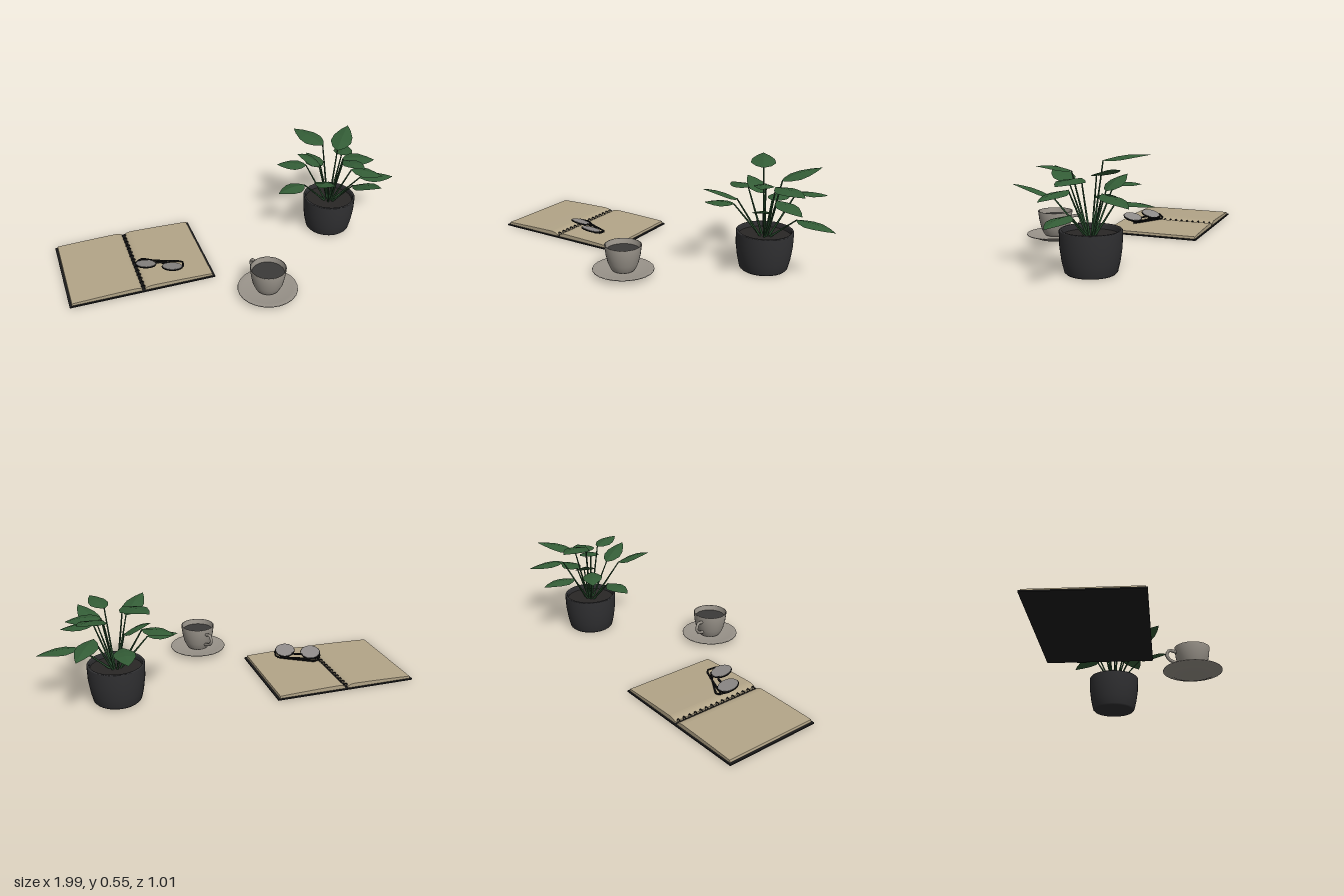
import * as THREE from 'three';

const mat = (name, color, side = THREE.FrontSide, flatShading = false) => {
  const m = new THREE.MeshStandardMaterial({ color, side, flatShading });
  m.name = name;
  return m;
};
const V = (x, y, z) => new THREE.Vector3(x, y, z);
const profile = (pts) => pts.map(([x, y]) => new THREE.Vector2(x, y));

export function createModel() {
  const D = THREE.DoubleSide;
  const cover = mat('coverBlack', 0x1c1c1c);
  const paper = mat('paper', 0xb3a588);
  const china = mat('stoneware', 0x99938a, D);
  const coffee = mat('coffee', 0x3b3a39);
  const potMat = mat('potCharcoal', 0x303032, D);
  const soilMat = mat('soil', 0x292726);
  const leafMat = mat('leafGreen', 0x335c36, D, true);
  const stemMat = mat('stemGreen', 0x26492b);
  const frameMat = mat('frameBlack', 0x0e0e0e);
  const lensMat = mat('lensGrey', 0x8e8a88);

  const root = new THREE.Group();
  const group = (name, x, z, ry = 0) => {
    const g = new THREE.Group();
    g.name = name;
    g.position.set(x, 0, z);
    g.rotation.y = ry;
    root.add(g);
    return g;
  };
  const add = (parent, name, geo, material, x = 0, y = 0, z = 0) => {
    const m = new THREE.Mesh(geo, material);
    m.name = name;
    m.position.set(x, y, z);
    parent.add(m);
    return m;
  };

  // Open notebook: thin cover, two page blocks dipping into the gutter
  const book = group('notebook', -0.572, -0.045, 0.139);
  add(book, 'cover', new THREE.BoxGeometry(0.788, 0.007, 0.54), cover, 0, 0.0035, 0);
  for (const s of [-1, 1]) {
    const page = new THREE.Shape();
    page.moveTo(s * 0.008, 0.007);
    page.lineTo(s * 0.382, 0.007);
    page.lineTo(s * 0.38, 0.02);
    page.quadraticCurveTo(s * 0.2, 0.027, s * 0.05, 0.029);
    page.quadraticCurveTo(s * 0.018, 0.028, s * 0.008, 0.016);
    const geo = new THREE.ExtrudeGeometry(page, { depth: 0.524, bevelEnabled: false, curveSegments: 6 });
    add(book, s < 0 ? 'rightPages' : 'leftPages', geo, paper, 0, 0, -0.262);
  }
  // Binding rings along the gutter
  const ringGeo = new THREE.TorusGeometry(0.011, 0.003, 5, 10);
  for (let i = 0; i < 15; i++) add(book, 'bindingRing', ringGeo, cover, 0, 0.016, -0.245 + i * 0.035);

  // Glasses lying on the page with folded temples
  const glasses = group('glasses', -0.44, 0.085, -0.35);
  const tube = (pts, r, n = 10) => new THREE.TubeGeometry(
    new THREE.CatmullRomCurve3(pts, false, 'catmullrom', 0.15), n, r, 6);
  const front = new THREE.Group();
  front.name = 'glassesFront';
  front.position.y = 0.06;
  front.rotation.x = -0.3;
  glasses.add(front);
  for (const s of [-1, 1]) {
    const rim = add(front, 'rim', new THREE.TorusGeometry(0.053, 0.004, 6, 20), frameMat, s * 0.073, 0, 0);
    rim.rotation.x = Math.PI / 2;
    add(front, 'lens', new THREE.CylinderGeometry(0.053, 0.053, 0.004, 20), lensMat, s * 0.073, 0.003, 0);
    const h = s < 0 ? 0.039 : 0.047;
    add(glasses, 'temple', tube([
      V(s * 0.124, 0.058, 0), V(s * 0.128, 0.055, -0.02), V(s * 0.118, h + 0.003, -0.062),
      V(s * 0.1, h, -0.07), V(-s * 0.05, h - 0.002, -0.056), V(-s * 0.11, h - 0.004, -0.045),
    ], 0.0055, 14), frameMat);
  }
  add(front, 'bridge', tube([V(-0.03, 0.002, -0.025), V(0, 0.007, -0.032), V(0.03, 0.002, -0.025)], 0.006, 6), frameMat);

  // Cup and saucer
  const cup = group('cupAndSaucer', 0.105, 0.343, 0.45);
  add(cup, 'saucer', new THREE.LatheGeometry(profile([
    [0, 0], [0.085, 0], [0.105, 0.006], [0.135, 0.02], [0.16, 0.026],
    [0.159, 0.03], [0.13, 0.027], [0.075, 0.018], [0, 0.018],
  ]), 24), china);
  add(cup, 'cupBody', new THREE.LatheGeometry(profile([
    [0, 0.022], [0.058, 0.022], [0.066, 0.033], [0.08, 0.065], [0.09, 0.11], [0.096, 0.158],
    [0.09, 0.158], [0.084, 0.11], [0.074, 0.068], [0.055, 0.04], [0, 0.036],
  ]), 28), china);
  add(cup, 'coffee', new THREE.CylinderGeometry(0.086, 0.084, 0.006, 28), coffee, 0, 0.127, 0);
  add(cup, 'handle', tube([
    V(0, 0.126, -0.088), V(0, 0.134, -0.125), V(0, 0.125, -0.138), V(0, 0.1, -0.145),
    V(0, 0.075, -0.125), V(0, 0.06, -0.08),
  ], 0.009, 10), china);

  // Plant pot
  const pot = group('plantPot', 0.6, -0.198);
  add(pot, 'potBody', new THREE.LatheGeometry(profile([
    [0, 0], [0.118, 0], [0.126, 0.008], [0.138, 0.06], [0.147, 0.125], [0.149, 0.203], [0.146, 0.207],
    [0.138, 0.207], [0.136, 0.2], [0.134, 0.165],
  ]), 32), potMat);
  add(pot, 'soil', new THREE.CylinderGeometry(0.136, 0.13, 0.01, 32), soilMat, 0, 0.175, 0);

  // Leaves: cross-sections of left edge, midrib and right edge from base to tip
  const widths = [[0, 0.12], [0.12, 0.62], [0.32, 1], [0.55, 0.92], [0.8, 0.5], [1, 0]];
  const leafGeometry = (base, tip, width) => {
    const dir = tip.clone().sub(base);
    const side = dir.clone().cross(V(0, 1, 0)).normalize();
    const up = side.clone().cross(dir).normalize();
    const pos = [], idx = [];
    widths.forEach(([t, w], i) => {
      for (const k of [-1, 0, 1]) {
        const p = base.clone().addScaledVector(dir, t)
          .addScaledVector(side, k * w * width / 2)
          .addScaledVector(up, 0.012 * Math.sin(Math.PI * t) - Math.abs(k) * w * 0.012);
        pos.push(p.x, p.y, p.z);
      }
      if (i === 0) return;
      for (const k of [0, 1]) {
        const a = (i - 1) * 3 + k;
        idx.push(a, a + 1, a + 3, a + 1, a + 4, a + 3);
      }
    });
    const g = new THREE.BufferGeometry();
    g.setAttribute('position', new THREE.Float32BufferAttribute(pos, 3));
    g.setIndex(idx);
    g.computeVertexNormals();
    return g;
  };

  // Each leaf: base xyz, tip xyz, width
  const leaves = [
    [0.55, 0.525, -0.235, 0.43, 0.548, -0.417, 0.13],
    [0.65, 0.468, -0.26, 0.77, 0.52, -0.445, 0.12],
    [0.70, 0.397, -0.32, 0.785, 0.36, -0.5, 0.11],
    [0.565, 0.336, -0.31, 0.545, 0.328, -0.505, 0.11],
    [0.78, 0.303, -0.2, 0.99, 0.28, -0.21, 0.11],
    [0.66, 0.452, -0.185, 0.84, 0.435, -0.165, 0.14],
    [0.7, 0.4, -0.14, 0.87, 0.365, -0.09, 0.115],
    [0.68, 0.355, -0.045, 0.78, 0.42, 0.115, 0.11],
    [0.64, 0.48, -0.12, 0.71, 0.498, 0.03, 0.1],
    [0.53, 0.402, -0.035, 0.43, 0.465, 0.115, 0.115],
    [0.43, 0.323, -0.155, 0.27, 0.31, -0.11, 0.11],
    [0.46, 0.4, -0.24, 0.305, 0.385, -0.305, 0.11],
    [0.55, 0.385, -0.25, 0.42, 0.45, -0.29, 0.11],
  ];
  const plant = new THREE.Group();
  plant.name = 'plant';
  root.add(plant);
  for (const [bx, by, bz, tx, ty, tz, w] of leaves) {
    const base = V(bx, by, bz), tip = V(tx, ty, tz);
    add(plant, 'leaf', leafGeometry(base, tip, w), leafMat);
    // Tapered stem from the soil to the leaf base
    const foot = V(0.6 + (bx - 0.6) * 0.15, 0.175, -0.198 + (bz + 0.198) * 0.15);
    const span = base.clone().sub(foot);
    const stem = add(plant, 'stem', new THREE.CylinderGeometry(0.0035, 0.006, span.length(), 6), stemMat);
    stem.position.copy(foot).addScaledVector(span, 0.5);
    stem.quaternion.setFromUnitVectors(V(0, 1, 0), span.normalize());
  }
  return root;
}
